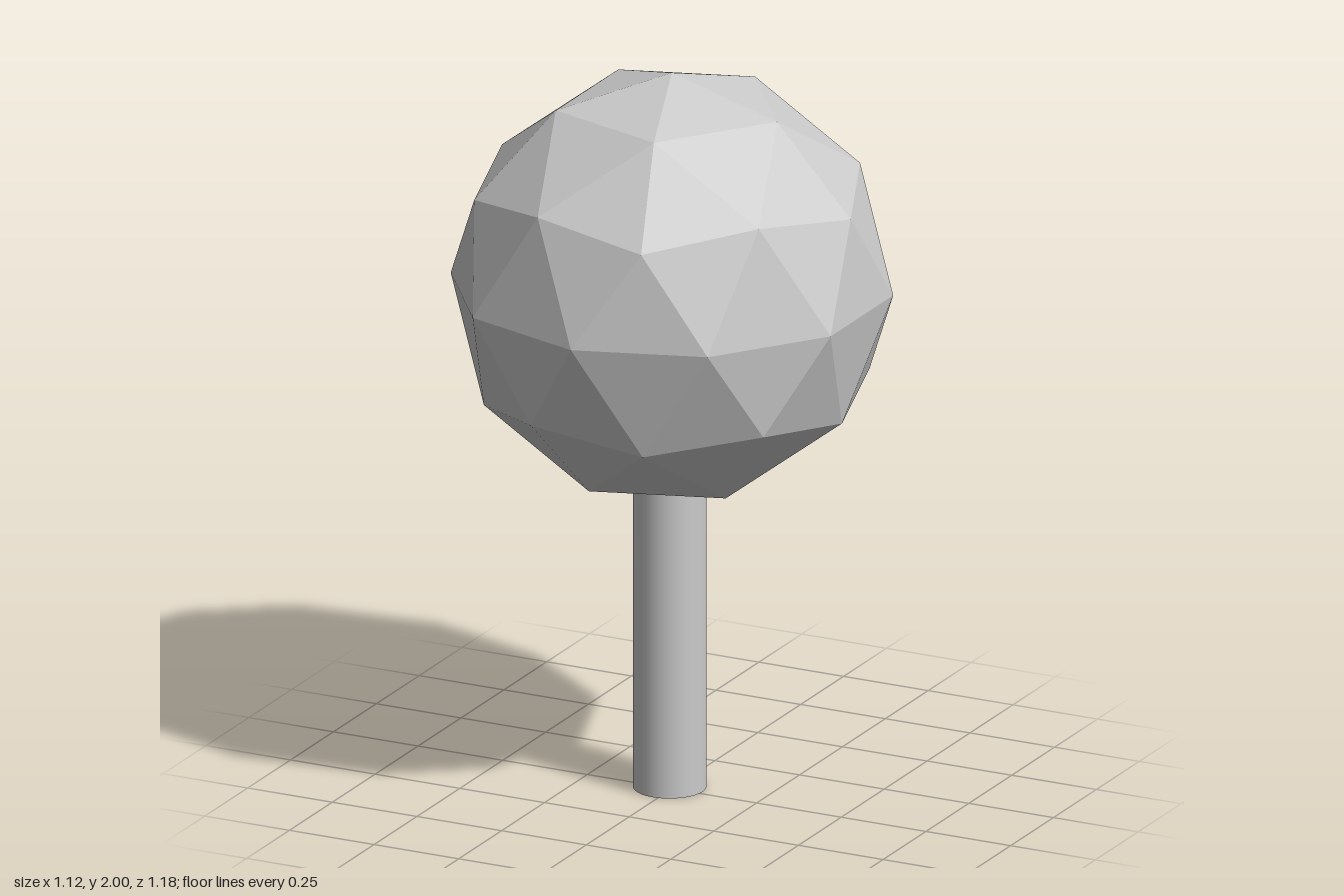
import * as THREE from 'three';

const RADIUS = 0.59;
const CENTRE_Y = 2 - RADIUS;

// Faceted ball, turned so one corner points up and a neighbouring corner leans to +x
function crownGeometry() {
  const geometry = new THREE.IcosahedronGeometry(RADIUS, 1);
  const t = (1 + Math.sqrt(5)) / 2;
  const up = new THREE.Vector3(0, 1, t).normalize();
  const side = new THREE.Vector3(0, -1, t).projectOnPlane(up).normalize();
  const front = new THREE.Vector3().crossVectors(side, up);
  const turn = new THREE.Matrix4().makeBasis(side, up, front).transpose();
  return geometry.applyMatrix4(turn);
}

export function createModel() {
  const group = new THREE.Group();
  group.name = 'tree';

  // Low-poly crown
  const crown = new THREE.Mesh(
    crownGeometry(),
    new THREE.MeshStandardMaterial({ color: 0xcccccc, flatShading: true })
  );
  crown.name = 'crown';
  crown.position.y = CENTRE_Y;
  group.add(crown);

  // Smooth trunk, slightly off centre, running up into the crown
  const height = 1;
  const trunk = new THREE.Mesh(
    new THREE.CylinderGeometry(0.097, 0.097, height, 32),
    new THREE.MeshStandardMaterial({ color: 0xcccccc })
  );
  trunk.name = 'trunk';
  trunk.position.set(-0.014, height / 2, -0.014);
  group.add(trunk);

  return group;
}
